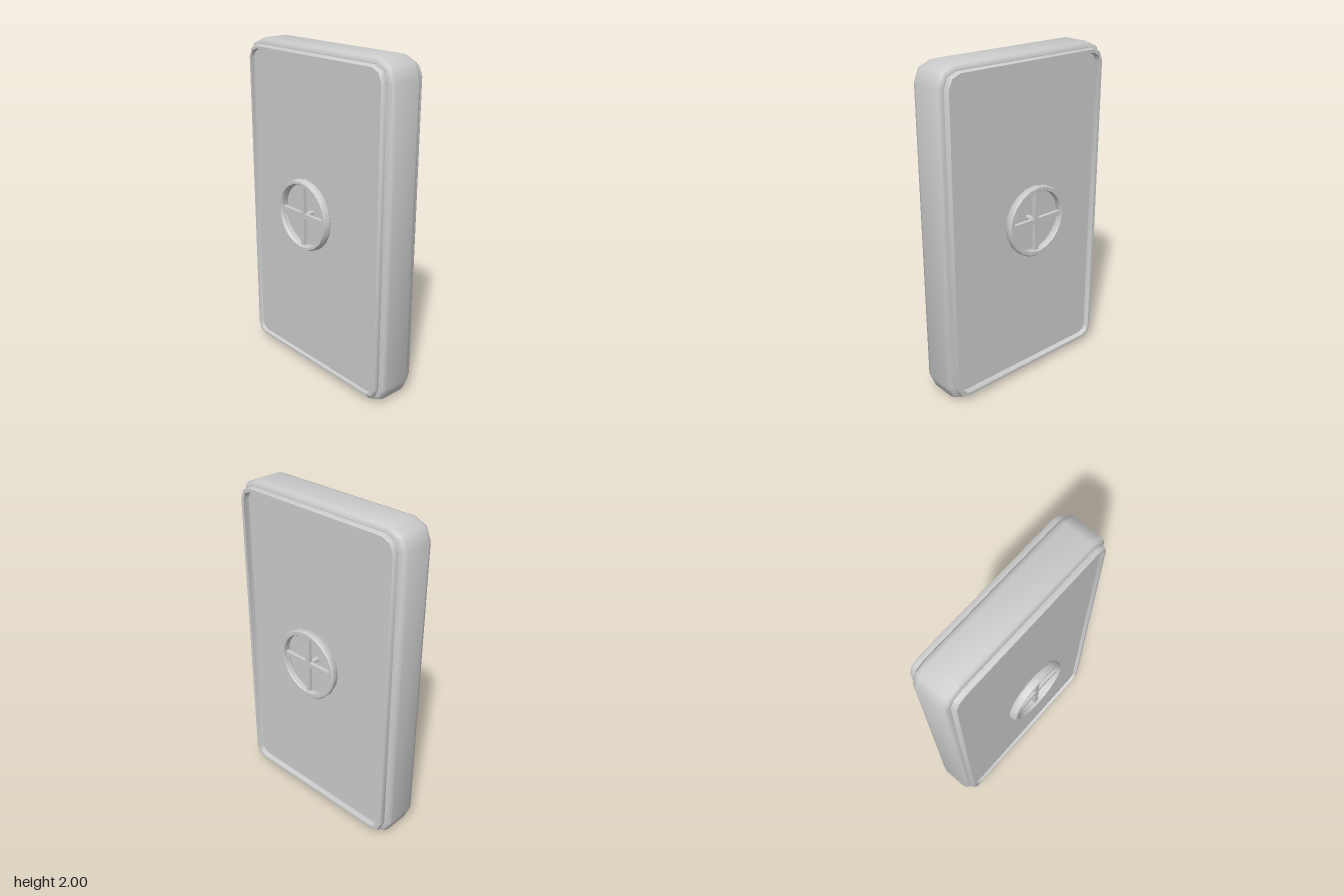
import * as THREE from 'three';
import { toCreasedNormals } from 'three/addons/utils/BufferGeometryUtils.js';

const HALF_W = 0.595, HALF_H = 1, CORNER = 0.115;

const material = new THREE.MeshStandardMaterial({ color: 0xcccccc });

function addMesh(parent, name, geometry, x = 0, y = 0, z = 0) {
  const mesh = new THREE.Mesh(geometry, material);
  mesh.name = name;
  mesh.position.set(x, y, z);
  parent.add(mesh);
  return mesh;
}

// Rectangle outline with two-segment rounded corners, shrunk by an inset
function outline(inset) {
  const r = CORNER - inset;
  const points = [];
  [[1, 1], [-1, 1], [-1, -1], [1, -1]].forEach(([sx, sy], corner) => {
    for (let i = 0; i <= 2; i++) {
      const a = (corner + i / 2) * Math.PI / 2;
      points.push([
        sx * (HALF_W - CORNER) + r * Math.cos(a),
        sy * (HALF_H - CORNER) + r * Math.sin(a)
      ]);
    }
  });
  return points;
}

// Slab skin: outlines joined from the front panel, over the edge, to the back panel
function slabGeometry() {
  const profile = [
    [0.065, 0.12], [0.06, 0.14], [0.045, 0.14], [0.035, 0.128],
    [0.035, 0.11], [0.028, 0.11], [0.008, 0.1], [0, 0.075],
    [0, -0.08], [0.008, -0.105], [0.028, -0.118], [0.035, -0.118],
    [0.035, -0.145], [0.04, -0.153], [0.06, -0.153], [0.065, -0.12]
  ];
  const rings = profile.map(([inset, z]) => outline(inset).map(([x, y]) => [x, y, z]));
  const n = rings[0].length;
  const centre = z => Array.from({ length: n }, () => [0, 0, z]);
  rings.unshift(centre(0.12));
  rings.push(centre(-0.12));

  const index = [];
  for (let i = 0; i < rings.length - 1; i++) {
    for (let j = 0; j < n; j++) {
      const k = (j + 1) % n;
      const a = i * n + j, b = i * n + k, c = a + n, d = b + n;
      if (i < rings.length - 2) index.push(a, c, d);
      if (i > 0) index.push(a, d, b);
    }
  }
  const geometry = new THREE.BufferGeometry();
  geometry.setAttribute('position', new THREE.Float32BufferAttribute(rings.flat(2), 3));
  geometry.setIndex(index);
  return toCreasedNormals(geometry, 0.85);
}

// Hand wheel: bevelled rim and two crossed spokes
function createWheel(name) {
  const wheel = new THREE.Group();
  wheel.name = name;
  const profile = [
    [0.187, -0.025], [0.208, -0.025], [0.215, -0.018], [0.215, 0.002],
    [0.206, 0.025], [0.191, 0.025], [0.183, 0.01], [0.183, -0.018], [0.187, -0.025]
  ].map(([r, y]) => new THREE.Vector2(r, y));
  const rim = new THREE.LatheGeometry(profile, 20).rotateX(Math.PI / 2);
  addMesh(wheel, 'wheelRim', toCreasedNormals(rim, 0.4));
  addMesh(wheel, 'horizontalSpoke', new THREE.BoxGeometry(0.38, 0.028, 0.022));
  addMesh(wheel, 'verticalSpoke', new THREE.BoxGeometry(0.028, 0.38, 0.022));
  return wheel;
}

export function createModel() {
  const door = new THREE.Group();
  door.name = 'door';
  addMesh(door, 'doorSlab', slabGeometry(), 0, 1, 0);

  // One wheel with its axle stub on each face
  for (const [side, label] of [[1, 'front'], [-1, 'back']]) {
    const wheel = createWheel(label + 'Wheel');
    wheel.position.set(-0.005, 1.045, side > 0 ? 0.186 : -0.19);
    door.add(wheel);
    const stub = new THREE.CylinderGeometry(0.015, 0.015, 0.06, 10).rotateX(Math.PI / 2);
    addMesh(door, label + 'Axle', toCreasedNormals(stub, 0.8), -0.005, 1.045, side * 0.138);
  }
  return door;
}
